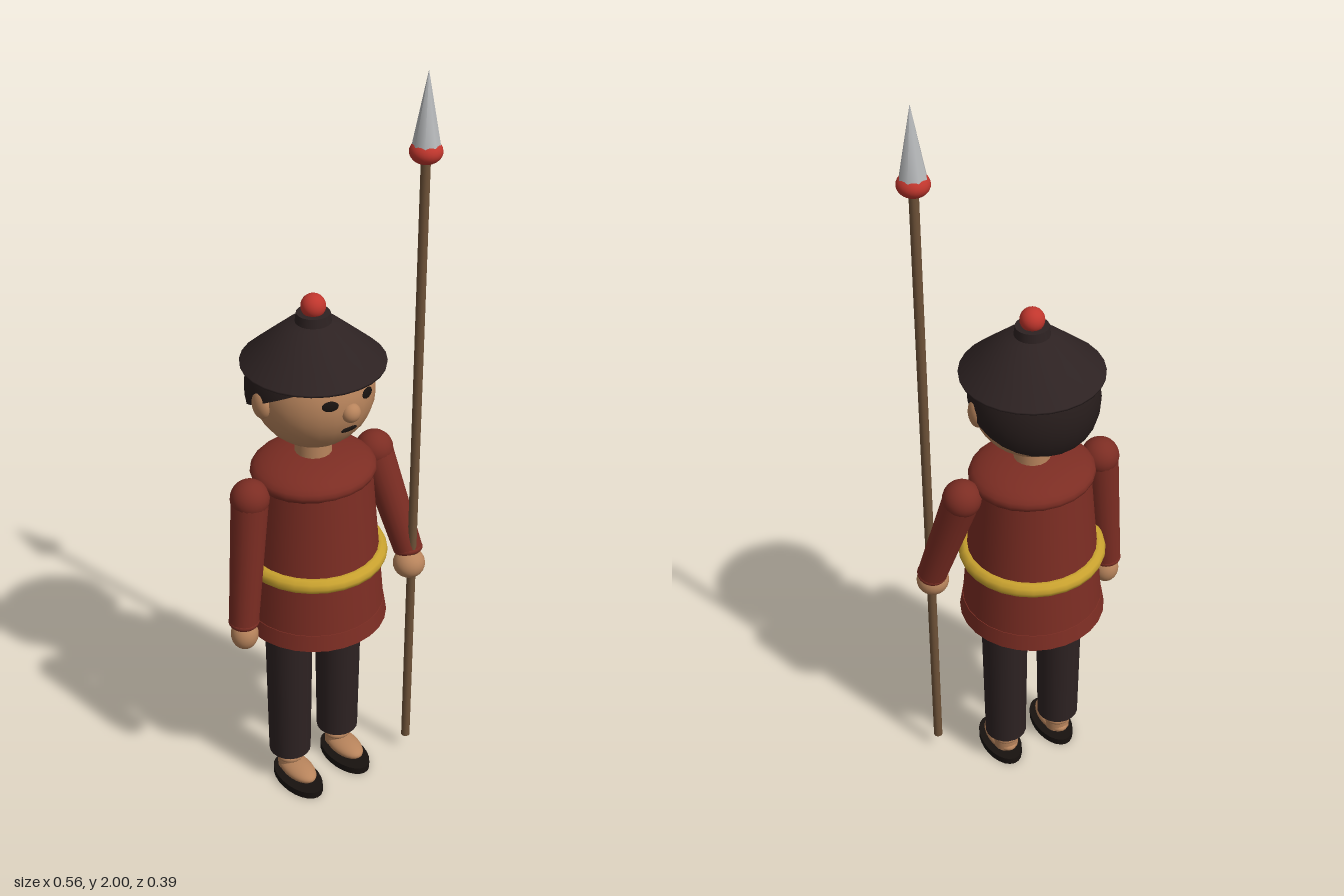
import * as THREE from 'three';

const mat = (name, color, side = THREE.FrontSide) => {
  const m = new THREE.MeshStandardMaterial({ color, side });
  m.name = name;
  return m;
};

export function createModel() {
  const model = new THREE.Group();
  model.name = 'guard';
  const figure = new THREE.Group();
  figure.name = 'figure';
  figure.position.x = -0.01;
  model.add(figure);

  const robe = mat('robe red', 0x7c2d23);
  const skin = mat('skin', 0xb8845c);
  const dark = mat('dark cloth', 0x2d2222, THREE.DoubleSide);
  const hairMat = mat('hair', 0x261c1b, THREE.DoubleSide);
  const black = mat('black', 0x18120f);
  const gold = mat('gold', 0xc9a22f);
  const red = mat('bright red', 0xc0362d);
  const wood = mat('wood', 0x6e5238);
  const steel = mat('steel', 0xb9bbbd);

  const add = (name, geo, material, x = 0, y = 0, z = 0, parent = figure) => {
    const m = new THREE.Mesh(geo, material);
    m.name = name;
    m.position.set(x, y, z);
    parent.add(m);
    return m;
  };
  const ball = (name, material, x, y, z, rx, ry = rx, rz = rx, parent = figure) => {
    const m = add(name, new THREE.SphereGeometry(1, 24, 16), material, x, y, z, parent);
    m.scale.set(rx, ry, rz);
    return m;
  };
  // Tapered cylinder between two points
  const limb = (name, material, from, to, r0, r1) => {
    const a = new THREE.Vector3(...from), b = new THREE.Vector3(...to);
    const dir = b.clone().sub(a), len = dir.length();
    const m = add(name, new THREE.CylinderGeometry(r1, r0, len, 18), material);
    m.position.copy(a).addScaledVector(dir, 0.5);
    m.quaternion.setFromUnitVectors(new THREE.Vector3(0, 1, 0), dir.normalize());
    return m;
  };

  // Robe, hem and belt
  add('robe', new THREE.CylinderGeometry(0.149, 0.185, 0.42, 28), robe, 0, 0.785);
  add('hem', new THREE.CylinderGeometry(0.186, 0.193, 0.045, 28), robe, 0, 0.5625);
  ball('shoulderYoke', robe, 0, 0.985, 0, 0.165, 0.053, 0.154);
  add('belt', new THREE.TorusGeometry(0.172, 0.021, 10, 28).rotateX(Math.PI / 2), gold, 0, 0.735);

  // Neck and head
  add('neck', new THREE.CylinderGeometry(0.046, 0.048, 0.08, 18), skin, 0, 1.05);
  const head = new THREE.Group();
  head.name = 'head';
  head.position.y = 1.22;
  figure.add(head);
  const R = 0.154;
  ball('skull', skin, 0, 0, 0, R, R, R, head);
  const hair = add('hair', new THREE.SphereGeometry(0.167, 28, 12, 0, Math.PI * 2, 0, Math.PI / 2),
    hairMat, 0, 0, -0.007, head);
  hair.rotation.x = -0.49;

  // Thin face details laid on the skull
  const faceSpot = (name, x, y, w, h) => {
    const z = Math.sqrt(R * R - x * x - y * y);
    const m = ball(name, black, x, y, z, w, h, 0.0045, head);
    m.rotation.set(-Math.asin(y / R), Math.atan2(x, z), 0, 'YXZ');
  };
  for (const s of [-1, 1]) {
    faceSpot('eye', s * 0.056, 0.024, 0.021, 0.013);
    faceSpot('eyebrow', s * 0.058, 0.064, 0.029, 0.006);
    ball('ear', skin, s * 0.153, -0.003, -0.005, 0.02, 0.038, 0.03, head);
  }
  faceSpot('mouth', 0, -0.057, 0.024, 0.007);
  ball('nose', skin, 0, -0.008, 0.15, 0.025, 0.025, 0.023, head);

  // Conical hat with a button on top
  add('hat', new THREE.LatheGeometry([
    [0, 1.287], [0.18, 1.287], [0.181, 1.293], [0.125, 1.341], [0.065, 1.392], [0, 1.41],
  ].map(([x, y]) => new THREE.Vector2(x, y)), 28), dark);
  add('hatButtonBase', new THREE.CylinderGeometry(0.042, 0.046, 0.03, 20), dark, 0, 1.406);
  ball('hatButton', red, 0, 1.438, 0, 0.031);

  // Legs, ankles and shoes
  for (const s of [-1, 1]) {
    const x = s * 0.082;
    add('trouserLeg', new THREE.CylinderGeometry(0.064, 0.057, 0.48, 20), dark, x, 0.337);
    add('ankle', new THREE.CylinderGeometry(0.036, 0.034, 0.08, 16), skin, x, 0.075);
    ball('ankleJoint', skin, x, 0.072, 0, 0.038, 0.02, 0.038);
    ball('foot', skin, x, 0.042, 0.033, 0.039, 0.024, 0.072);
    const sole = add('shoeSole', new THREE.CylinderGeometry(1, 1, 0.02, 24), black, x, 0.01, 0.037);
    sole.scale.set(0.051, 1, 0.092);
  }

  // Right arm hangs down, left arm reaches forward to the spear
  const arms = [
    { side: 'right', top: [-0.197, 0.965, 0], end: [-0.23, 0.605, 0.008], hand: [-0.23, 0.565, 0.01], r: [0.036, 0.043, 0.036] },
    { side: 'left', top: [0.197, 0.965, 0], end: [0.25, 0.675, 0.085], hand: [0.243, 0.638, 0.1], r: [0.043, 0.041, 0.043] },
  ];
  for (const a of arms) {
    ball(a.side + 'Shoulder', robe, ...a.top, 0.05);
    limb(a.side + 'Sleeve', robe, a.top, a.end, 0.048, 0.039);
    const cuff = ball(a.side + 'Cuff', robe, ...a.end, 0.04, 0.02, 0.04);
    cuff.rotation.x = a.side === 'left' ? -0.28 : 0;
    ball(a.side + 'Hand', skin, ...a.hand, ...a.r);
  }

  // Spear
  const spear = new THREE.Group();
  spear.name = 'spear';
  spear.position.set(0.234, 0, 0.109);
  model.add(spear);
  add('shaft', new THREE.CylinderGeometry(0.012, 0.012, 1.76, 12), wood, 0, 0.925, 0, spear);
  ball('spearTassel', red, 0, 1.805, 0, 0.04, 0.03, 0.04, spear);
  add('spearTip', new THREE.ConeGeometry(0.034, 0.18, 8), steel, 0, 1.91, 0, spear);

  return model;
}
